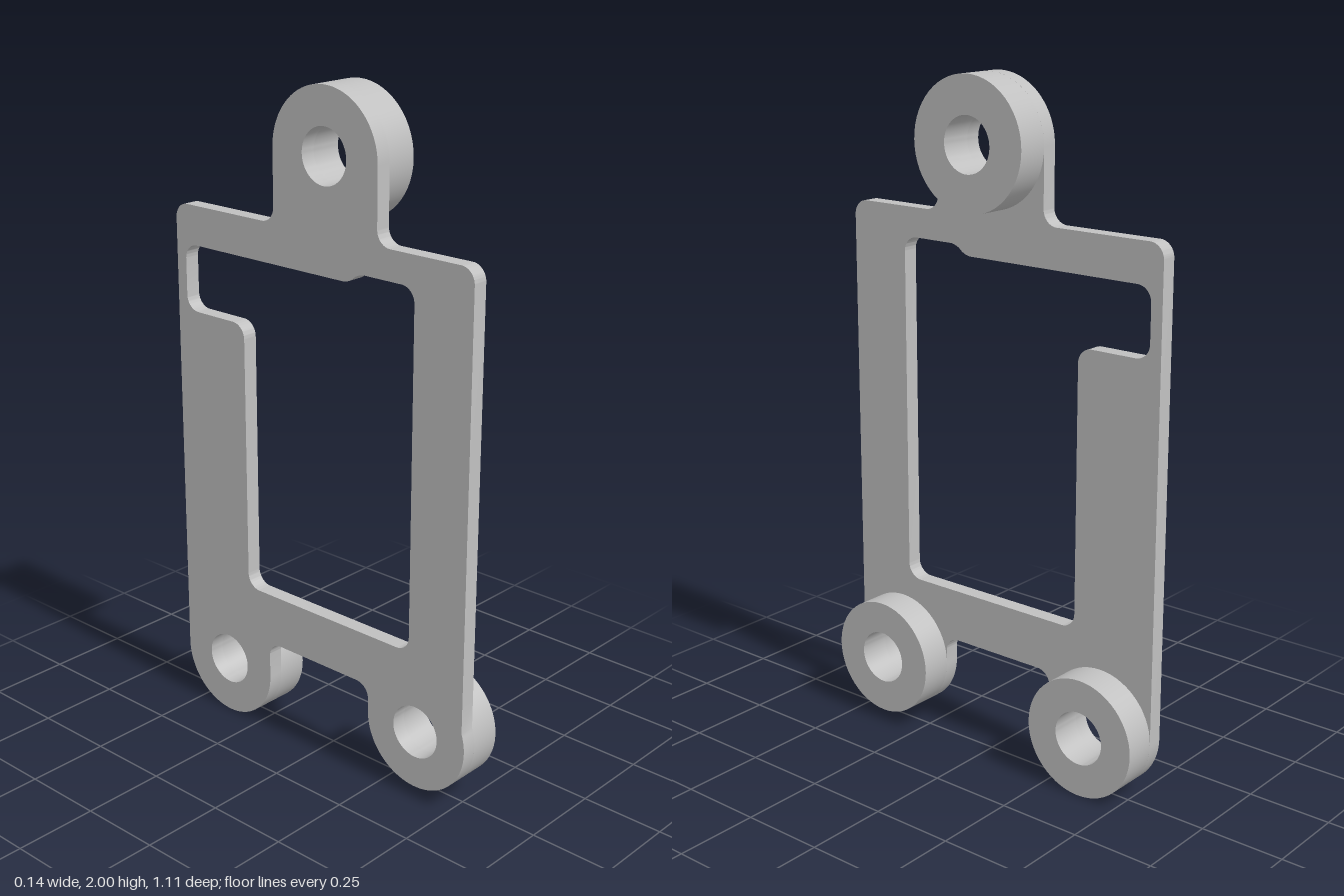
import * as THREE from 'three';
import { toCreasedNormals } from 'three/addons/utils/BufferGeometryUtils.js';

const BACK = -0.073, SEAM = -0.026, FRONT = 0.071; // x of plate back, plate face, boss face
const HOLE = 0.08;
const LUGS = [
  { name: 'topBoss', x: -0.031, y: 1.811, r: 0.189 },
  { name: 'lowerFrontBoss', x: -0.378, y: 0.213, r: 0.177 },
  { name: 'lowerRearBoss', x: 0.373, y: 0.18, r: 0.178 },
];

// Runs a path through points [x, y, radius], rounding each corner that has a radius
function roundedPath(path, pts) {
  const k = 0.5523;
  pts.forEach(([x, y, r], i) => {
    const p = new THREE.Vector2(x, y);
    if (!r) {
      if (i === 0 && path.curves.length === 0) path.moveTo(x, y);
      else path.lineTo(x, y);
      return;
    }
    const at = (j) => new THREE.Vector2(...pts[(j + pts.length) % pts.length].slice(0, 2));
    const d1 = at(i - 1).sub(p).normalize(), d2 = at(i + 1).sub(p).normalize();
    const on = (d, s) => p.clone().addScaledVector(d, s);
    const a = on(d1, r), b = on(d2, r), c1 = on(d1, r * (1 - k)), c2 = on(d2, r * (1 - k));
    if (i === 0) path.moveTo(a.x, a.y);
    else path.lineTo(a.x, a.y);
    path.bezierCurveTo(c1.x, c1.y, c2.x, c2.y, b.x, b.y);
  });
}

function boltHole({ x, y }) {
  return new THREE.Path().absarc(x, y, HOLE, 0, Math.PI * 2, true);
}

// Extrudes a side profile across x; profile right is towards the rear
function slab(name, shape, x0, x1, material) {
  let geo = new THREE.ExtrudeGeometry(shape, { depth: x1 - x0, bevelEnabled: false, curveSegments: 28 });
  geo = toCreasedNormals(geo, 0.5);
  geo.rotateY(Math.PI / 2);
  geo.translate(x0, 0, 0);
  const mesh = new THREE.Mesh(geo, material);
  mesh.name = name;
  return mesh;
}

export function createModel() {
  const metal = new THREE.MeshStandardMaterial({ color: 0xc0c0c0 });
  metal.name = 'plain grey';
  const group = new THREE.Group();
  group.name = 'mountingBracket';
  const [top, front, rear] = LUGS;

  // Outer edge of the plate, running round its three lugs
  const plate = new THREE.Shape();
  plate.moveTo(rear.x - rear.r, rear.y);
  plate.absarc(rear.x, rear.y, rear.r, Math.PI, Math.PI * 2, false);
  roundedPath(plate, [
    [rear.x + rear.r, rear.y], [0.551, 1.6, 0.045],
    [top.x + top.r, 1.6, 0.045], [top.x + top.r, top.y],
  ]);
  plate.absarc(top.x, top.y, top.r, 0, Math.PI, false);
  const edge = -0.545;
  const start = Math.PI * 2 - Math.acos((edge - front.x) / front.r);
  roundedPath(plate, [
    [top.x - top.r, top.y], [top.x - top.r, 1.6, 0.045],
    [edge, 1.6, 0.045], [edge, 0.36],
    [edge, front.y + front.r * Math.abs(Math.sin(start))],
  ]);
  plate.absarc(front.x, front.y, front.r, Math.PI * 2 - start, Math.PI * 2, false);
  roundedPath(plate, [
    [front.x + front.r, front.y], [front.x + front.r, 0.298, 0.045],
    [rear.x - rear.r, 0.298, 0.045], [rear.x - rear.r, rear.y],
  ]);

  // Window with a stepped top edge and a side notch
  const opening = new THREE.Path();
  roundedPath(opening, [
    [-0.35, 0.457, 0.045], [-0.35, 1.513, 0.045], [-0.155, 1.513, 0.02],
    [-0.12, 1.483, 0.02], [0.515, 1.483, 0.045], [0.515, 1.283, 0.045],
    [0.281, 1.283, 0.045], [0.281, 0.457, 0.045],
  ]);
  opening.closePath();
  plate.holes.push(opening, ...LUGS.map(boltHole));
  group.add(slab('framePlate', plate, BACK, SEAM, metal));

  // Raised round bosses with bolt holes
  for (const lug of LUGS) {
    const ring = new THREE.Shape().absarc(lug.x, lug.y, lug.r, 0, Math.PI * 2, false);
    ring.holes.push(boltHole(lug));
    group.add(slab(lug.name, ring, SEAM, FRONT, metal));
  }
  return group;
}
